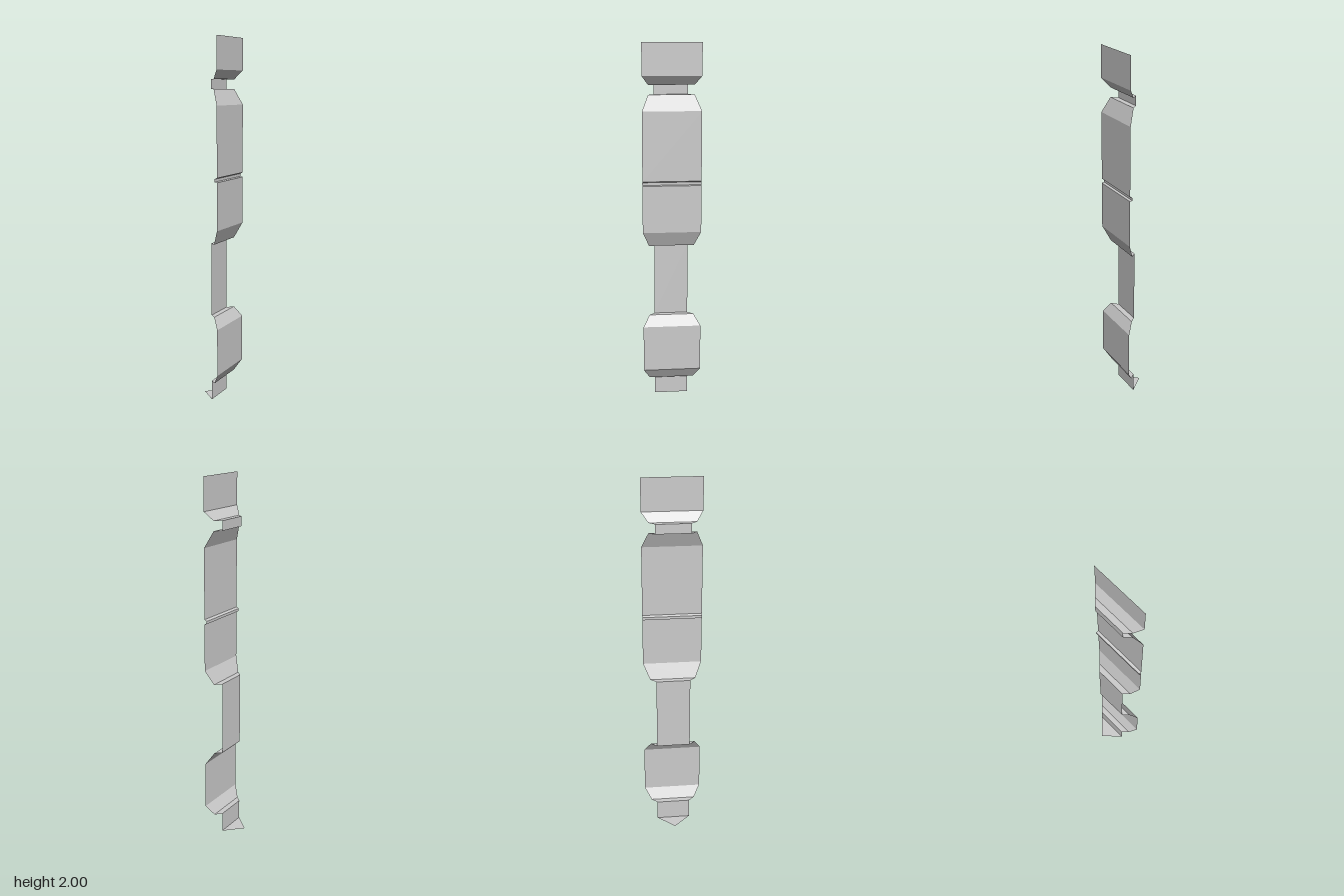
import * as THREE from 'three';

const CORNER = -0.11;                        // the two back planes meet at x = z = CORNER
const WIDE = 0.118, MID = 0.067, SLIM = 0.022; // how far the diagonal face reaches along x and z

const material = new THREE.MeshStandardMaterial({
  color: 0xcccccc, flatShading: true, side: THREE.DoubleSide,
});

// Diagonal sheet facing +x +z, lofted through rows of [y, reach, inset]
function diagonalSheet(name, rows) {
  const position = [], index = [];
  rows.forEach(([y, reach, inset = 0], i) => {
    position.push(CORNER - inset, y, reach - inset, reach - inset, y, CORNER - inset);
    if (i > 0) {
      const a = 2 * (i - 1);
      index.push(a, a + 1, a + 3, a, a + 3, a + 2);
    }
  });
  const indexed = new THREE.BufferGeometry();
  indexed.setAttribute('position', new THREE.Float32BufferAttribute(position, 3));
  indexed.setIndex(index);
  const geometry = indexed.toNonIndexed();
  geometry.computeVertexNormals();
  const mesh = new THREE.Mesh(geometry, material);
  mesh.name = name;
  return mesh;
}

export function createModel() {
  const group = new THREE.Group();
  group.name = 'cornerColumn';

  // Slim shafts between the blocks
  [['foot', 0, 0.11], ['shaft', 0.49, 0.895], ['neck', 1.725, 1.777]].forEach(([name, y0, y1]) =>
    group.add(diagonalSheet(name, [[y0, SLIM], [y1, SLIM]])));

  // Chamfered blocks with flat ledges back to the shafts
  group.add(diagonalSheet('lowerBlock', [
    [0.11, SLIM], [0.11, MID], [0.17, WIDE], [0.43, WIDE], [0.49, MID], [0.49, SLIM],
  ]));
  group.add(diagonalSheet('upperBlockBase', [
    [0.895, SLIM], [0.895, MID], [0.977, WIDE], [1.237, WIDE],
  ]));
  group.add(diagonalSheet('groove', [
    [1.237, WIDE], [1.24, WIDE, 0.01], [1.255, WIDE, 0.01], [1.262, WIDE],
  ]));
  group.add(diagonalSheet('upperBlockTop', [
    [1.262, WIDE], [1.64, WIDE], [1.725, MID], [1.725, SLIM],
  ]));
  group.add(diagonalSheet('capital', [
    [1.777, SLIM], [1.777, MID], [1.825, WIDE], [2, WIDE],
  ]));

  // Triangular floor under the foot
  const outline = new THREE.Shape([
    new THREE.Vector2(CORNER, CORNER),
    new THREE.Vector2(SLIM, CORNER),
    new THREE.Vector2(CORNER, SLIM),
  ]);
  const floor = new THREE.Mesh(new THREE.ShapeGeometry(outline).rotateX(Math.PI / 2), material);
  floor.name = 'footBottom';
  group.add(floor);

  return group;
}
